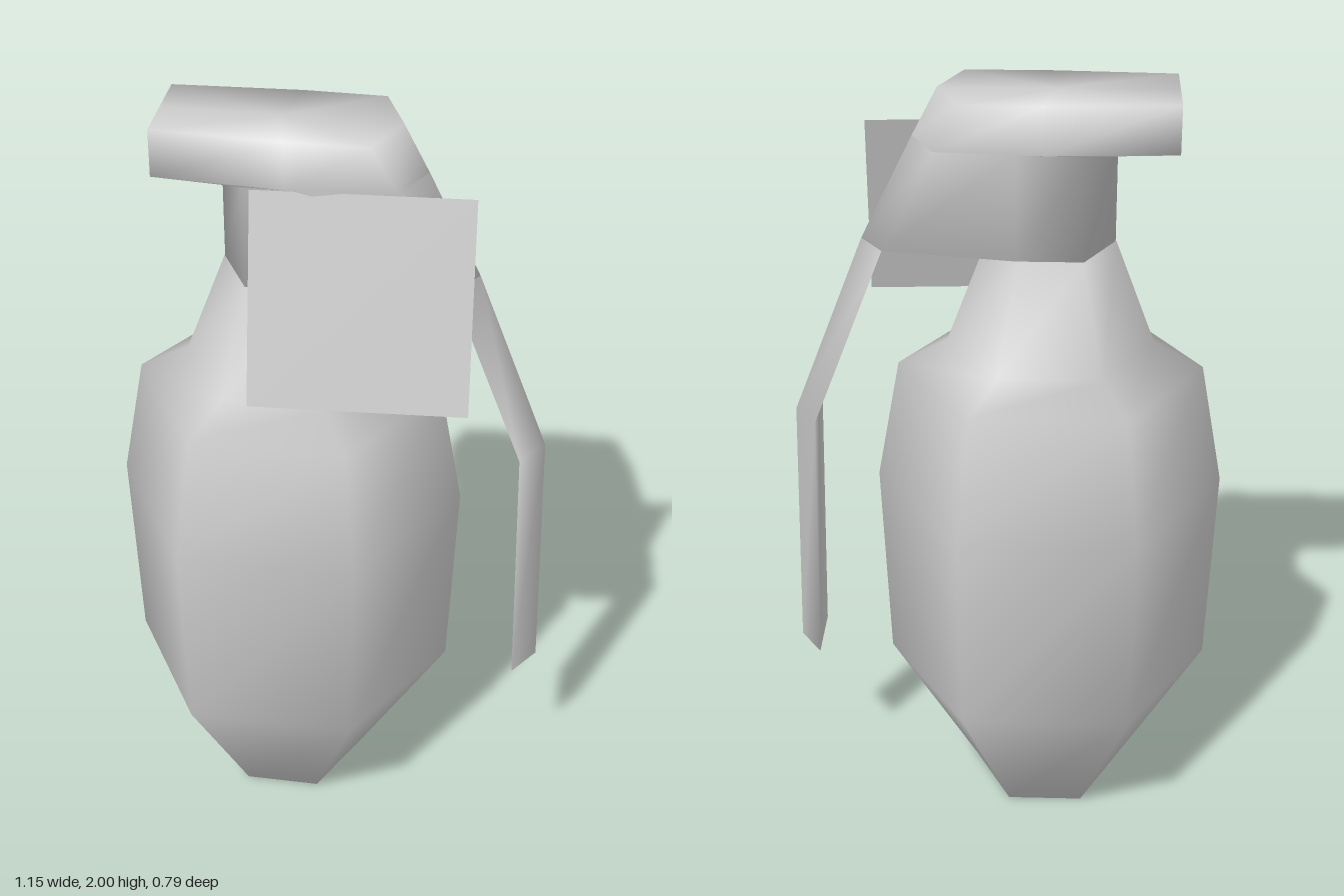
import * as THREE from 'three';

const material = new THREE.MeshStandardMaterial({ color: 0xcccccc, side: THREE.DoubleSide });

// Skins stacked rings, bottom to top. Each ring is { y, half }: the front half of
// its outline as [x, z] from -x to +x, mirrored to the back; both ends are capped.
function loft(name, rings) {
  const positions = [], index = [];
  const outlines = rings.map(({ y, half }) => {
    const back = half.slice(1, -1).reverse().map(([x, z]) => [x, -z]);
    return [...half, ...back].map(([x, z]) => [x, y, z]);
  });
  const n = outlines[0].length;
  outlines.forEach(o => o.forEach(p => positions.push(...p)));
  for (let i = 0; i < rings.length - 1; i++) {
    for (let j = 0; j < n; j++) {
      const k = (j + 1) % n;
      const a = i * n + j, b = i * n + k, c = a + n, d = b + n;
      index.push(a, b, d, a, d, c);
    }
  }
  for (const end of [0, rings.length - 1]) {
    const half = rings[end].half;
    const centre = positions.length / 3;
    positions.push((half[0][0] + half[half.length - 1][0]) / 2, rings[end].y, 0);
    for (let j = 0; j < n; j++) {
      const a = end * n + j, b = end * n + (j + 1) % n;
      if (end) index.push(centre, a, b);
      else index.push(centre, b, a);
    }
  }
  const geometry = new THREE.BufferGeometry();
  geometry.setAttribute('position', new THREE.Float32BufferAttribute(positions, 3));
  geometry.setIndex(index);
  geometry.computeVertexNormals();
  const mesh = new THREE.Mesh(geometry, material);
  mesh.name = name;
  return mesh;
}

// Hexagonal ring around the body axis: half-width in x, half-depth in z
function hex(y, rx, rz) {
  const cx = -0.117;
  return { y, half: [[cx - rx, 0], [cx - rx / 2, rz], [cx + rx / 2, rz], [cx + rx, 0]] };
}

// Lever section: flat inside, ridge on the outside
const leverRing = (y, inner, outer) => ({ y, half: [[inner, 0], [inner, 0.09], [outer, 0]] });

export function createModel() {
  const model = new THREE.Group();

  // Six-sided body with its shoulder and tapering neck
  model.add(loft('body', [
    hex(0, 0.2, 0.21),
    hex(0.37, 0.437, 0.375),
    hex(0.92, 0.46, 0.394),
    hex(1.25, 0.4, 0.336),
    hex(1.32, 0.27, 0.245),
    hex(1.6, 0.165, 0.15),
  ]));

  // Head: neck block widening toward the lever, with an overhanging bar on top
  model.add(loft('head', [
    { y: 1.6, half: [[-0.28, 0], [-0.2, 0.148], [-0.03, 0.148], [0.31, 0.09], [0.37, 0]] },
    { y: 1.875, half: [[-0.28, 0], [-0.2, 0.148], [-0.03, 0.148], [0.175, 0.127], [0.235, 0]] },
    { y: 1.875, half: [[-0.43, 0], [-0.43, 0.13], [-0.1, 0.148], [0.175, 0.127], [0.235, 0]] },
    { y: 2, half: [[-0.43, 0], [-0.43, 0.13], [-0.1, 0.148], [0.11, 0.146], [0.17, 0]] },
  ]));

  // Bent lever hanging beside the body
  model.add(loft('lever', [
    leverRing(0.4, 0.515, 0.575),
    leverRing(1.11, 0.5, 0.56),
    leverRing(1.6, 0.31, 0.37),
  ]));

  // Thin tilted tag in front of the neck
  const tagGeometry = new THREE.PlaneGeometry(1, 1);
  [[-0.182, 1.873, 0.155], [0.365, 1.873, 0.12], [-0.172, 1.35, 0.302], [0.376, 1.35, 0.267]]
    .forEach((corner, i) => tagGeometry.attributes.position.setXYZ(i, ...corner));
  tagGeometry.computeVertexNormals();
  const tag = new THREE.Mesh(tagGeometry, material);
  tag.name = 'tag';
  model.add(tag);

  return model;
}
